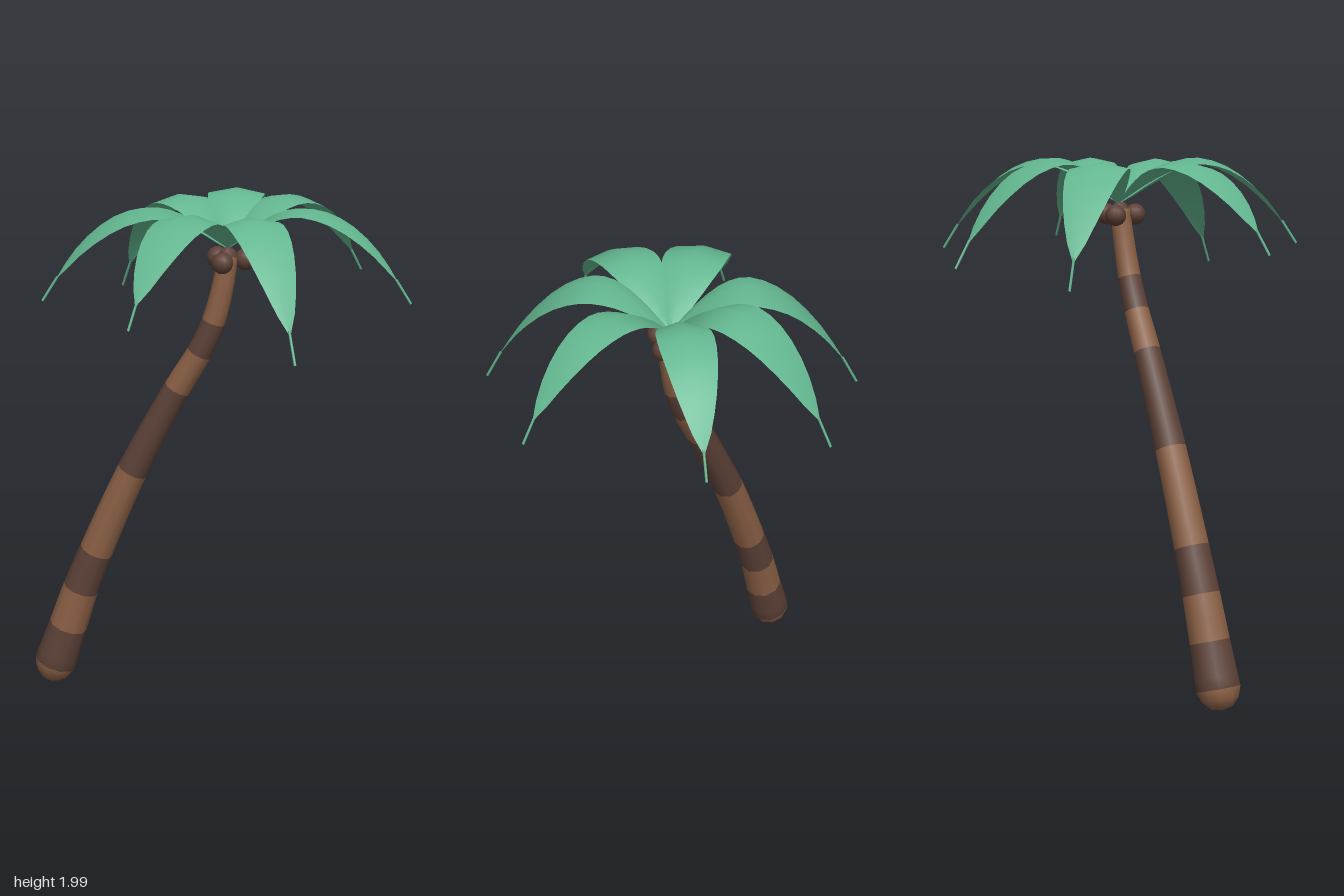
import * as THREE from 'three';

const mat = (name, color, side = THREE.FrontSide) => {
  const m = new THREE.MeshStandardMaterial({ color, side });
  m.name = name;
  return m;
};

// Trunk: rings swept along a leaning curve, one material group per bark band
function makeTrunk(lightBark, darkBark) {
  // x, y, radius at each band edge
  const stations = [
    [-0.66, 0.085, 0.085], [-0.605, 0.25, 0.077], [-0.55, 0.415, 0.072],
    [-0.485, 0.58, 0.067], [-0.335, 0.925, 0.06], [-0.155, 1.27, 0.052],
    [-0.07, 1.415, 0.048], [-0.015, 1.54, 0.045], [0.018, 1.67, 0.042], [0.037, 1.795, 0.039],
  ];
  const curve = new THREE.CatmullRomCurve3(
    stations.map(([x, y]) => new THREE.Vector3(x, y, 0.14 - 0.077 * y)));
  const sides = 10, steps = 4, last = stations.length - 1;
  const rings = [];
  const addRing = (t, radius, shift = 0) => {
    const tangent = curve.getTangent(t);
    rings.push({ p: curve.getPoint(t).addScaledVector(tangent, shift), tangent, radius });
  };
  // rounded foot
  addRing(0, 0.001, -0.08);
  addRing(0, 0.042, -0.07);
  addRing(0, 0.071, -0.04);
  const footRings = rings.length;
  for (let i = 0; i <= last * steps; i++) {
    const k = Math.min(Math.floor(i / steps), last - 1), f = i / steps - k;
    addRing(i / (last * steps), THREE.MathUtils.lerp(stations[k][2], stations[k + 1][2], f));
  }
  // tapered crown end
  addRing(1, 0.022, 0.025);
  addRing(1, 0.001, 0.034);

  const pos = [], index = [];
  for (const { p, tangent, radius } of rings) {
    const n = new THREE.Vector3(0, 0, 1).addScaledVector(tangent, -tangent.z).normalize();
    const b = new THREE.Vector3().crossVectors(tangent, n);
    for (let j = 0; j < sides; j++) {
      const a = (j / sides) * Math.PI * 2;
      const v = p.clone().addScaledVector(n, radius * Math.cos(a)).addScaledVector(b, radius * Math.sin(a));
      pos.push(v.x, v.y, v.z);
    }
  }
  const darkBands = [0, 2, 4, 6, last];
  const geo = new THREE.BufferGeometry();
  for (let i = 0; i < rings.length - 1; i++) {
    const band = Math.floor((i - footRings) / steps);
    geo.addGroup(index.length, sides * 6, darkBands.includes(band) ? 1 : 0);
    for (let j = 0; j < sides; j++) {
      const a = i * sides + j, b = i * sides + (j + 1) % sides;
      index.push(a, b, a + sides, b, b + sides, a + sides);
    }
  }
  geo.setAttribute('position', new THREE.Float32BufferAttribute(pos, 3));
  geo.setIndex(index);
  geo.computeVertexNormals();
  const trunk = new THREE.Mesh(geo, [lightBark, darkBark]);
  trunk.name = 'trunk';
  return trunk;
}

// Frond: arched blade pointing along +x, ridged at the root and flatter outward, with a thin tip
function makeFrond(material, tipY, halfWidth, lift) {
  const reach = 0.7, bladeEnd = 0.88, steps = 14;
  const arch = new THREE.CatmullRomCurve3([
    [0, 1.82], [0.1, 1.908], [0.2, 1.968], [0.3, 1.986],
    [0.42, 1.952], [0.54, 1.865], [0.635, 1.752], [0.7, 1.655],
  ].map(([r, y]) => {
    const t = r / reach;
    return new THREE.Vector3(r, y + (tipY - 1.655) * t * t + lift * Math.sin(Math.PI * t), 0);
  }));
  const pos = [], index = [];
  for (let i = 0; i <= steps; i++) {
    const t = i / steps;
    const p = arch.getPoint(t * bladeEnd), tan = arch.getTangent(t * bladeEnd);
    const w = 0.005 + halfWidth * Math.pow(Math.max(Math.sin(Math.PI * t), 0), 0.85);
    for (const u of [-1, 0, 1]) {
      const drop = Math.abs(u) * w * THREE.MathUtils.lerp(0.32, 0.08, t);
      pos.push(p.x + tan.y * drop, p.y - tan.x * drop, -u * w);
    }
    if (i === steps) continue;
    for (const j of [0, 1]) {
      const a = i * 3 + j;
      index.push(a, a + 3, a + 1, a + 1, a + 3, a + 4);
    }
  }
  const geo = new THREE.BufferGeometry();
  geo.setAttribute('position', new THREE.Float32BufferAttribute(pos, 3));
  geo.setIndex(index);
  geo.computeVertexNormals();
  const blade = new THREE.Mesh(geo, material);
  blade.name = 'frondBlade';

  const tipPath = new THREE.LineCurve3(arch.getPoint(bladeEnd - 0.01), arch.getPoint(1));
  const tip = new THREE.Mesh(new THREE.TubeGeometry(tipPath, 1, 0.005, 5), material);
  tip.name = 'frondTip';

  const frond = new THREE.Group();
  frond.name = 'frond';
  frond.add(blade, tip);
  return frond;
}

export function createModel() {
  const lightBark = mat('light bark', 0x8b6045);
  const darkBark = mat('dark bark', 0x5d4238);
  const nut = mat('coconut brown', 0x5d4036);
  const leaf = mat('leaf green', 0x63b790, THREE.DoubleSide);

  const model = new THREE.Group();
  model.name = 'palmTree';
  model.add(makeTrunk(lightBark, darkBark));

  // Crown: angle in degrees from +x toward +z, tip height, half width, extra arch
  const crown = new THREE.Group();
  crown.name = 'crown';
  crown.position.set(0.033, 0, -0.005);
  const fronds = [
    [-2.4, 1.655, 0.085, 0], [52, 1.55, 0.1, 0.015], [100.7, 1.66, 0.105, 0.005],
    [148.7, 1.655, 0.112, 0], [213.8, 1.55, 0.105, 0.015], [257.9, 1.6, 0.105, 0.02],
    [301, 1.64, 0.095, 0.005],
  ];
  for (const [deg, tipY, halfWidth, lift] of fronds) {
    const frond = makeFrond(leaf, tipY, halfWidth, lift);
    frond.rotation.y = -THREE.MathUtils.degToRad(deg);
    crown.add(frond);
  }
  model.add(crown);

  // Coconuts clustered under the crown
  const nutGeo = new THREE.SphereGeometry(0.041, 12, 9);
  for (let i = 0; i < 3; i++) {
    const a = -0.5 + (i * Math.PI * 2) / 3;
    const coconut = new THREE.Mesh(nutGeo, nut);
    coconut.name = 'coconut';
    coconut.position.set(0.036 + 0.064 * Math.cos(a), 1.777, -0.003 + 0.064 * Math.sin(a));
    model.add(coconut);
  }
  return model;
}
